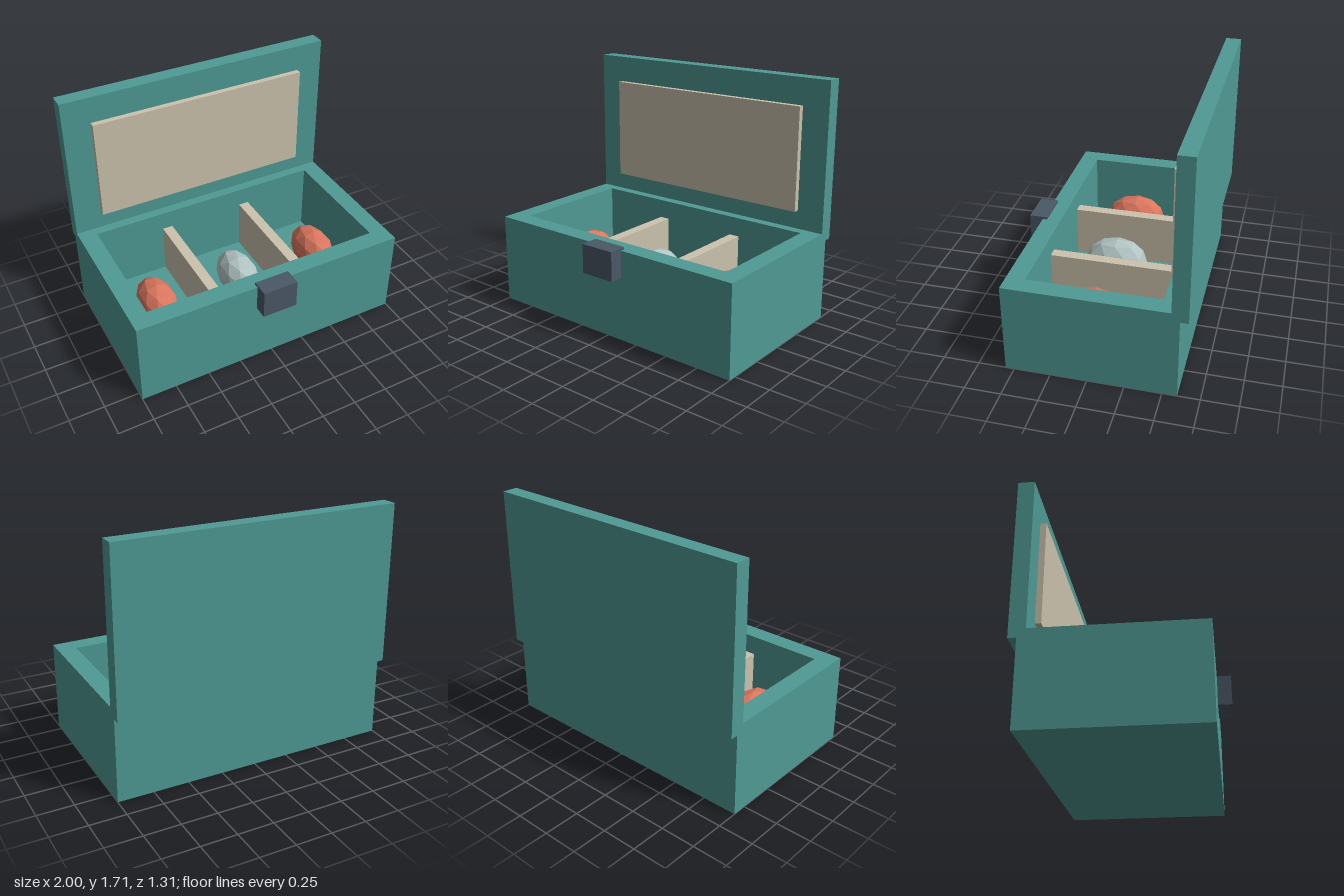
import * as THREE from 'three';

export function createModel() {
  const group = new THREE.Group();
  group.name = 'jewelBox';

  const material = (name, color) => {
    const m = new THREE.MeshStandardMaterial({ color });
    m.name = name;
    return m;
  };
  const teal = material('teal', 0x4f9a94);
  const cream = material('cream', 0xccc2ad);
  const slate = material('slate', 0x4a5866);
  const coral = material('coral', 0xdc765e);
  const silver = material('silver', 0xb2c4c3);

  const add = (name, geometry, mat) => {
    const mesh = new THREE.Mesh(geometry, mat);
    mesh.name = name;
    group.add(mesh);
    return mesh;
  };
  // Box given by its lower and upper corners
  const box = (name, mat, [x0, y0, z0], [x1, y1, z1]) => {
    const mesh = add(name, new THREE.BoxGeometry(x1 - x0, y1 - y0, z1 - z0), mat);
    mesh.position.set((x0 + x1) / 2, (y0 + y1) / 2, (z0 + z1) / 2);
    return mesh;
  };

  const rim = 0.645, floor = 0.13;

  // Open case: a rectangular ring of walls on a solid base
  const rectangle = (PathType, x, back, front) => new PathType([
    [-x, -front], [x, -front], [x, -back], [-x, -back],
  ].map(([px, py]) => new THREE.Vector2(px, py)));
  const outline = rectangle(THREE.Shape, 1, -0.6, 0.56);
  outline.holes.push(rectangle(THREE.Path, 0.872, -0.475, 0.43));
  const walls = new THREE.ExtrudeGeometry(outline, { depth: rim - floor, bevelEnabled: false });
  walls.rotateX(-Math.PI / 2).translate(0, floor, 0);
  add('caseWalls', walls, teal);
  box('caseBase', teal, [-1, 0, -0.6], [1, floor, 0.56]);

  // Upright open lid with its padded lining
  box('lid', teal, [-1, 0.585, -0.655], [1, 1.71, -0.545]);
  box('lidLining', cream, [-0.803, 0.778, -0.543], [0.803, 1.52, -0.502]);

  // Front latch
  box('latch', slate, [-0.127, 0.455, 0.528], [0.127, 0.662, 0.655]);

  // Two dividers
  for (const side of [-1, 1]) {
    const divider = box('divider', cream, [-0.038, floor, -0.475], [0.038, 0.506, 0.43]);
    divider.position.x = side * 0.324;
  }

  // One faceted gem in each compartment
  const gem = new THREE.IcosahedronGeometry(1, 1).scale(0.137, 0.16, 0.224);
  gem.computeVertexNormals();
  [[-0.646, coral], [0, silver], [0.646, coral]].forEach(([x, mat]) => {
    add('gem', gem, mat).position.set(x, 0.31, 0.042);
  });
  for (const mat of [coral, silver]) mat.flatShading = true;

  return group;
}
